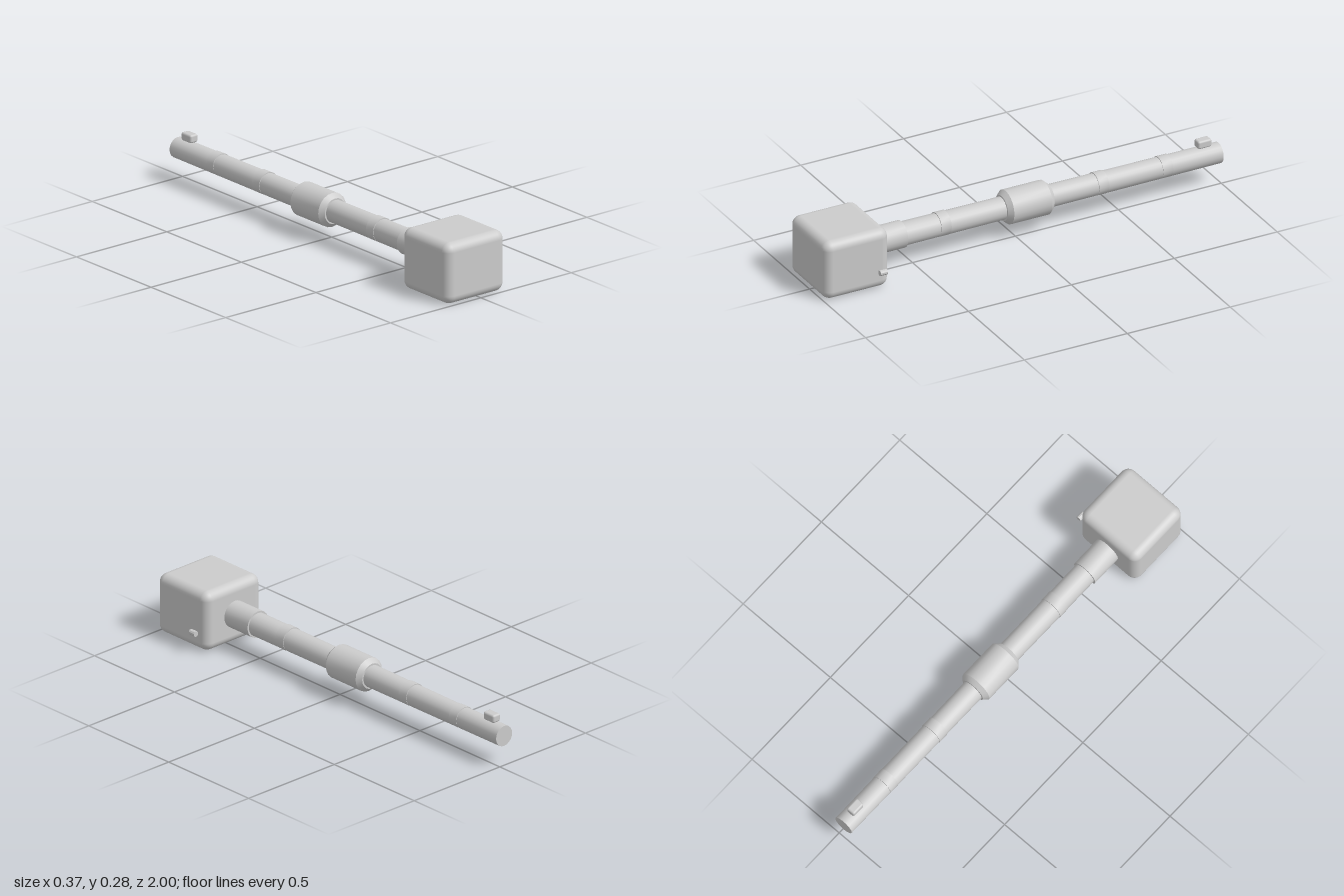
import * as THREE from 'three';
import { toCreasedNormals } from 'three/addons/utils/BufferGeometryUtils.js';
import { RoundedBoxGeometry } from 'three/addons/geometries/RoundedBoxGeometry.js';

const AXIS_X = -0.025, AXIS_Y = 0.139;

export function createModel() {
  const model = new THREE.Group();
  const grey = new THREE.MeshStandardMaterial({ color: 0xcccccc });
  grey.name = 'plain grey';

  function add(name, geometry, x, y, z) {
    const mesh = new THREE.Mesh(geometry, grey);
    mesh.name = name;
    mesh.position.set(x, y, z);
    model.add(mesh);
  }

  // Solid turned around the z axis from [radius, z] pairs, listed back to front
  function turned(name, profile, x = AXIS_X, y = AXIS_Y, sides = 20) {
    const pts = [[0, profile[0][1]], ...profile, [0, profile[profile.length - 1][1]]];
    const lathe = new THREE.LatheGeometry(pts.map(([r, z]) => new THREE.Vector2(r, z)), sides);
    lathe.rotateX(Math.PI / 2);
    add(name, toCreasedNormals(lathe, 0.6), x, y, 0);
  }

  // Rounded block at the front and the pin floating beside it
  add('housing', new RoundedBoxGeometry(0.326, 0.276, 0.315, 4, 0.04), -0.022, 0.139, 0.8425);
  turned('sidePin', [[0.0128, 0.718], [0.0128, 0.752]], 0.17, 0.094, 10);

  // Tapering barrel with a wider collar at the housing
  turned('barrel', [[0.047, -1], [0.053, 0.56]]);
  turned('collar', [[0.061, 0.54], [0.061, 0.72]]);

  // Chamfered sleeve around the middle of the barrel
  turned('sleeve', [[0.058, -0.174], [0.077, -0.153], [0.077, 0.033], [0.058, 0.054]]);

  // Thin bands set slightly high on the barrel
  for (const [z, r] of [[0.349, 0.0545], [-0.418, 0.0515], [-0.73, 0.0495]]) {
    turned('band', [[r, z - 0.024], [r, z + 0.024]], AXIS_X, AXIS_Y + 0.002);
  }

  // Small rounded sight near the tip
  add('sight', new RoundedBoxGeometry(0.042, 0.037, 0.066, 2, 0.009), -0.024, 0.206, -0.924);

  return model;
}
